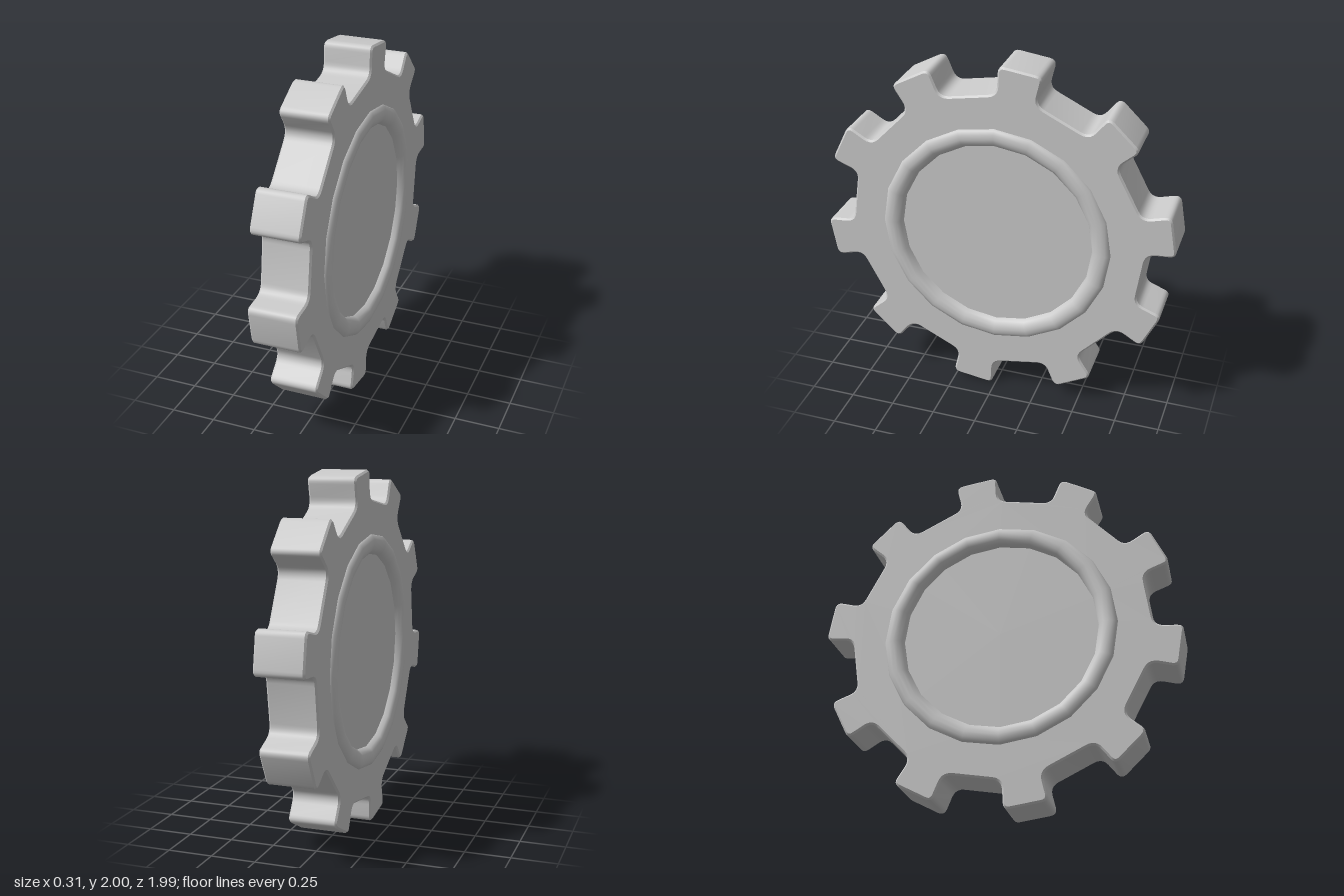
import * as THREE from 'three';
import { toCreasedNormals } from 'three/addons/utils/BufferGeometryUtils.js';

const TEETH = 10;
const TILT = THREE.MathUtils.degToRad(8);
const HUB_SIDES = 20;

// Outline of the toothed wheel, with every corner rounded
function gearShape() {
  const corners = [];
  // [distance from centre, sideways offset, rounding]
  const tooth = [[0.838, -0.106, 0.05], [0.997, -0.121, 0.04], [0.997, 0.121, 0.04], [0.838, 0.106, 0.05]];
  for (let i = 0; i < TEETH; i++) {
    const a = TILT + (i * Math.PI * 2) / TEETH;
    const s = Math.sin(a), c = Math.cos(a);
    for (const [r, t, round] of tooth) {
      corners.push({ p: new THREE.Vector2(r * s + t * c, r * c - t * s), round });
    }
  }
  corners.reverse();
  const n = corners.length;
  const toward = (from, to, d) => to.clone().sub(from).setLength(d).add(from);
  const shape = new THREE.Shape();
  corners.forEach(({ p, round }, i) => {
    const start = toward(p, corners[(i + n - 1) % n].p, round);
    const end = toward(p, corners[(i + 1) % n].p, round);
    if (i === 0) shape.moveTo(start.x, start.y);
    else shape.lineTo(start.x, start.y);
    shape.quadraticCurveTo(p.x, p.y, end.x, end.y);
  });
  shape.closePath();

  // Opening that the hub sits in
  const hole = [];
  for (let i = 0; i < HUB_SIDES; i++) {
    const a = (i * Math.PI * 2) / HUB_SIDES;
    hole.push(new THREE.Vector2(0.6 * Math.sin(a), 0.6 * Math.cos(a)));
  }
  shape.holes.push(new THREE.Path(hole));
  return shape;
}

export function createModel() {
  const group = new THREE.Group();
  group.name = 'gear';
  const material = new THREE.MeshStandardMaterial({ color: 0xcccccc });
  const add = (name, geometry, crease) => {
    const mesh = new THREE.Mesh(toCreasedNormals(geometry, crease), material);
    mesh.name = name;
    mesh.position.y = 1;
    group.add(mesh);
  };

  // Toothed wheel with finely bevelled edges
  const wheel = new THREE.ExtrudeGeometry(gearShape(), {
    depth: 0.25, curveSegments: 5,
    bevelEnabled: true, bevelSize: 0.01, bevelThickness: 0.01, bevelOffset: -0.01, bevelSegments: 1,
  });
  wheel.translate(0, 0, -0.125).rotateY(Math.PI / 2);
  add('toothedWheel', wheel, 0.7);

  // Hub: recessed disc framed by a rounded raised rim, same on both sides
  const rim = [[0, 0.112], [0.545, 0.112], [0.555, 0.136], [0.574, 0.151], [0.6, 0.157], [0.625, 0.155], [0.645, 0.146], [0.655, 0.13]];
  const profile = [
    ...rim.map(([r, h]) => new THREE.Vector2(r, -h)),
    ...rim.map(([r, h]) => new THREE.Vector2(r, h)).reverse(),
  ];
  const hub = new THREE.LatheGeometry(profile, HUB_SIDES);
  hub.rotateZ(-Math.PI / 2);
  add('hubWithRim', hub, 0.75);

  return group;
}
